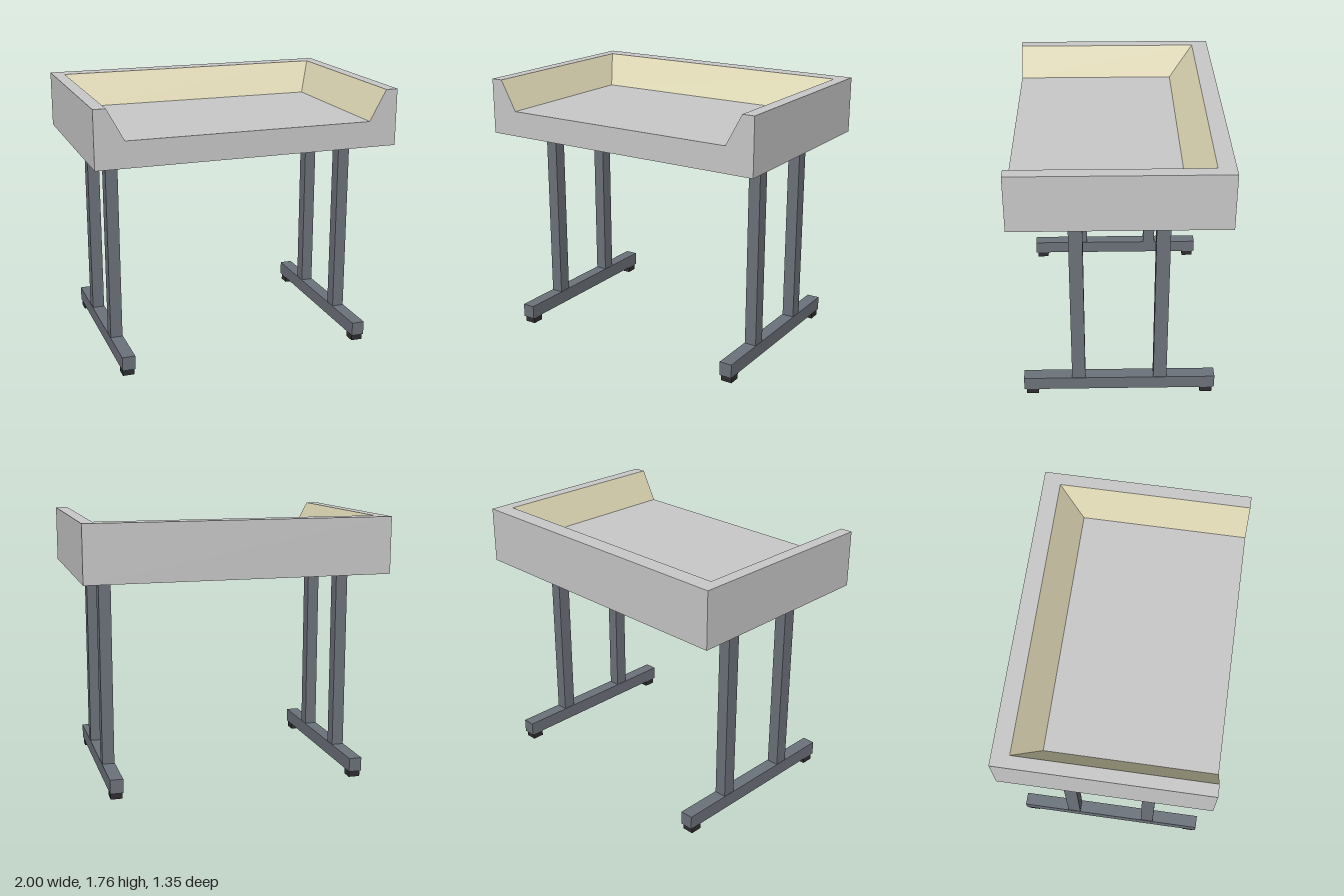
import * as THREE from 'three';

// flat-shaded panel made of four-cornered faces, corners counter-clockwise from outside
function panels(name, material, quads) {
  const pos = [];
  for (const [a, b, c, d] of quads) pos.push(...a, ...b, ...c, ...a, ...c, ...d);
  const geometry = new THREE.BufferGeometry();
  geometry.setAttribute('position', new THREE.Float32BufferAttribute(pos, 3));
  geometry.computeVertexNormals();
  const mesh = new THREE.Mesh(geometry, material);
  mesh.name = name;
  return mesh;
}

function box(name, material, w, y0, y1, d, x, z) {
  const mesh = new THREE.Mesh(new THREE.BoxGeometry(w, y1 - y0, d), material);
  mesh.position.set(x, (y0 + y1) / 2, z);
  mesh.name = name;
  return mesh;
}

function mat(name, color) {
  const m = new THREE.MeshStandardMaterial({ color });
  m.name = name;
  return m;
}

export function createModel() {
  const grey = mat('light grey', 0xc8c8c8);
  const cream = mat('cream', 0xd9d3b0);
  const steel = mat('steel grey', 0x6c727a);
  const black = mat('rubber black', 0x2e2e30);
  const model = new THREE.Group();
  model.name = 'trayTable';

  // tray: outer size, rim opening and floor opening
  const X = 1, Z = 0.677, bottom = 1.39, floor = 1.56, top = 1.762;
  const rimX = 0.92, rimZ = -0.565, floorX = 0.81, floorZ = -0.4;
  const tray = new THREE.Group();
  tray.name = 'tray';

  tray.add(panels('trayOuterWalls', grey, [
    [[X, bottom, Z], [X, bottom, -Z], [X, top, -Z], [X, top, Z]],
    [[-X, bottom, -Z], [-X, bottom, Z], [-X, top, Z], [-X, top, -Z]],
    [[X, bottom, -Z], [-X, bottom, -Z], [-X, top, -Z], [X, top, -Z]],
  ]));

  // front face with the sloping cut-out
  tray.add(panels('trayFront', grey, [
    [[-X, bottom, Z], [X, bottom, Z], [floorX, floor, Z], [-floorX, floor, Z]],
    [[X, bottom, Z], [X, top, Z], [rimX, top, Z], [floorX, floor, Z]],
    [[-X, bottom, Z], [-floorX, floor, Z], [-rimX, top, Z], [-X, top, Z]],
  ]));

  tray.add(panels('trayRim', grey, [
    [[-X, top, rimZ], [X, top, rimZ], [X, top, -Z], [-X, top, -Z]],
    [[rimX, top, Z], [X, top, Z], [X, top, rimZ], [rimX, top, rimZ]],
    [[-X, top, Z], [-rimX, top, Z], [-rimX, top, rimZ], [-X, top, rimZ]],
  ]));

  tray.add(panels('trayFloor', grey, [
    [[-floorX, floor, Z], [floorX, floor, Z], [floorX, floor, floorZ], [-floorX, floor, floorZ]],
  ]));

  tray.add(panels('trayInnerSlopes', cream, [
    [[-floorX, floor, floorZ], [floorX, floor, floorZ], [rimX, top, rimZ], [-rimX, top, rimZ]],
    [[floorX, floor, floorZ], [floorX, floor, Z], [rimX, top, Z], [rimX, top, rimZ]],
    [[-floorX, floor, Z], [-floorX, floor, floorZ], [-rimX, top, rimZ], [-rimX, top, Z]],
  ]));

  tray.add(panels('trayUnderside', cream, [
    [[-X, bottom, -Z], [X, bottom, -Z], [X, bottom, Z], [-X, bottom, Z]],
  ]));
  model.add(tray);

  // one stand per side: runner, two posts and two feet
  for (const side of [-1, 1]) {
    const stand = new THREE.Group();
    stand.name = side > 0 ? 'leftStand' : 'rightStand';
    const x = side * 0.815;
    stand.add(box('runner', steel, 0.086, 0.042, 0.135, 1.27, x, 0));
    for (const end of [-1, 1]) {
      stand.add(box('post', steel, 0.08, 0.135, bottom, 0.088, x, end * 0.27));
      stand.add(box('foot', black, 0.076, 0, 0.045, 0.08, x, end * 0.581));
    }
    model.add(stand);
  }
  return model;
}
